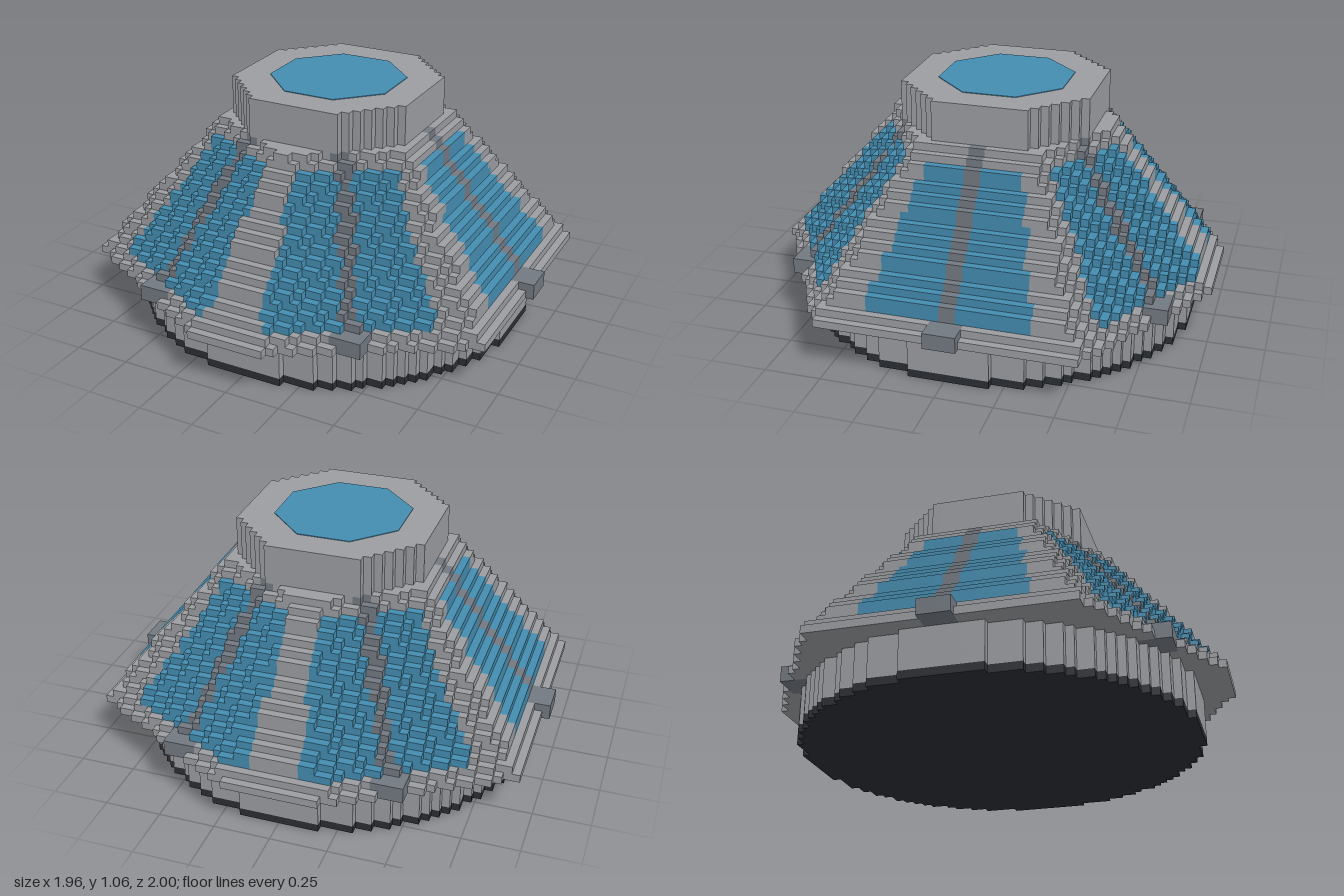
import * as THREE from 'three';

const V = 2 / 57;          // size of one block
const CZ = -0.5 * V;       // the body axis sits half a block behind z = 0
const R = 29;              // grid reach in blocks on either side of the axis
const LAYERS = 30;

const flat = (name, color) => {
  const m = new THREE.MeshStandardMaterial({ color });
  m.name = name;
  return m;
};

// The six sides of the hexagonal roof, starting at +x
const SIDES = Array.from({ length: 6 }, (_, i) => {
  const a = (i * Math.PI) / 3;
  return [Math.cos(a), Math.sin(a)];
});

// Which part fills the block with centre (x, z) in layer k; null when empty
function partAt(x, k, z) {
  const ax = Math.abs(x), az = Math.abs(z);

  // Round base
  if (k < 0 || k >= LAYERS) return null;
  if (k < 6) {
    if (Math.hypot(x, z) > 25) return null;
    return k === 0 ? 'footPlate' : 'baseDrum';
  }

  // Octagonal collar on top
  if (k >= 25) return ax < 12 && az < 12 && ax + az < 17.2 ? 'topCollar' : null;

  // Latch boxes at the foot of each rib
  if (k < 8) {
    if (ax > 24 && ax < 28 && az < 2) return 'latchBoxes';
    if (ax > 11 && ax < 15 && az > 20 && az < 24) return 'latchBoxes';
  }

  // Stepped hexagonal roof with clipped front and back corners
  const apothem = 27 - ((k - 6) * 14) / 18;
  if (z > apothem + 1.6 || -z > apothem + 1) return null;
  let depth = -1, across = 0;
  for (const [c, s] of SIDES) {
    const d = x * c + z * s;
    if (d > depth) {
      depth = d;
      across = Math.abs(z * c - x * s);
    }
  }
  if (depth > apothem) return null;
  if (across < 1) return 'windowRibs';
  if (k >= 8 && k <= 22 && across < 10.1 - ((k - 8) * 4) / 14) return 'sideWindows';
  return k < 8 ? 'skirt' : 'roofFrame';
}

// Collect the exposed block faces of every part
function blockFaces() {
  const faces = {};
  for (let k = 0; k < LAYERS; k++) {
    for (let i = -R; i < R; i++) {
      for (let j = -R; j < R; j++) {
        const part = partAt(i + 0.5, k, j + 0.5);
        if (!part) continue;
        const out = (faces[part] ??= []);
        for (let d = 0; d < 3; d++) {
          for (const s of [1, -1]) {
            const n = [0, 0, 0];
            n[d] = s;
            if (partAt(i + 0.5 + n[0], k + n[1], j + 0.5 + n[2])) continue;
            const corner = (u, v) => {
              const p = [i, k, j];
              if (s > 0) p[d] += 1;
              p[(d + 1) % 3] += u;
              p[(d + 2) % 3] += v;
              return [p[0] * V, p[1] * V, p[2] * V + CZ];
            };
            const q = [corner(0, 0), corner(1, 0), corner(1, 1), corner(0, 1)];
            if (s < 0) q.reverse();
            for (const c of [0, 1, 2, 0, 2, 3]) out.push(...q[c]);
          }
        }
      }
    }
  }
  return faces;
}

export function createModel() {
  const grey = flat('hull grey', 0x9b9da1);
  const dark = flat('rib grey', 0x737982);
  const blue = flat('window blue', 0x448cb0);
  const black = flat('foot black', 0x2b2e33);
  const materials = {
    footPlate: black,
    baseDrum: grey,
    skirt: grey,
    roofFrame: grey,
    topCollar: grey,
    latchBoxes: dark,
    windowRibs: dark,
    sideWindows: blue,
  };

  const model = new THREE.Group();
  model.name = 'windowDome';

  for (const [name, positions] of Object.entries(blockFaces())) {
    const geometry = new THREE.BufferGeometry();
    geometry.setAttribute('position', new THREE.Float32BufferAttribute(positions, 3));
    geometry.computeVertexNormals();
    const mesh = new THREE.Mesh(geometry, materials[name]);
    mesh.name = name;
    model.add(mesh);
  }

  // Octagonal top window, a thin plate on the collar
  const radius = (8 * V) / Math.cos(Math.PI / 8);
  const pane = new THREE.Mesh(
    new THREE.CylinderGeometry(radius, radius, 0.004, 8).rotateY(Math.PI / 8), blue);
  pane.position.set(0, LAYERS * V + 0.001, CZ);
  pane.name = 'topWindow';
  model.add(pane);

  return model;
}
